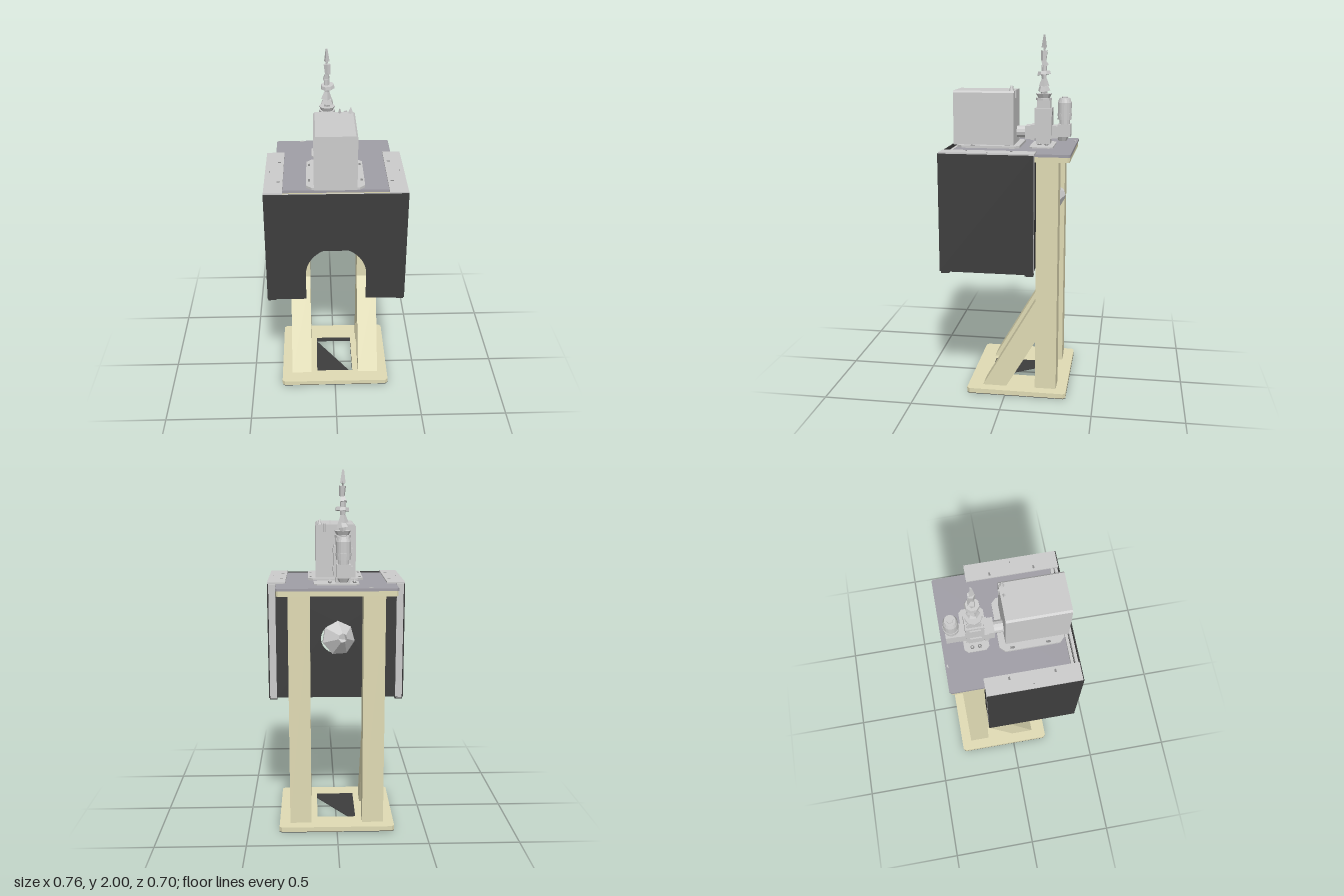
import * as THREE from 'three';

const mat = (color, extra = {}) => new THREE.MeshStandardMaterial({ color, flatShading: true, ...extra });
const GREY = mat(0xcccccc);
const THIN = mat(0xcccccc, { side: THREE.DoubleSide });
const WOOD = mat(0xe0dbb4);
const DARK = mat(0x3d3d3d);
const SLATE = mat(0xa09ea6);
const SLOT = mat(0x8a8a8a);

export function createModel() {
  const root = new THREE.Group();
  root.name = 'workstation';

  const add = (name, geo, material, x = 0, y = 0, z = 0) => {
    const m = new THREE.Mesh(geo, material);
    m.name = name;
    m.position.set(x, y, z);
    root.add(m);
    return m;
  };
  // Box from its min and max on each axis
  const box = (name, material, x0, x1, y0, y1, z0, z1) =>
    add(name, new THREE.BoxGeometry(x1 - x0, y1 - y0, z1 - z0), material, (x0 + x1) / 2, (y0 + y1) / 2, (z0 + z1) / 2);
  const cyl = (name, r0, r1, y0, y1, x, z, sides = 16, material = GREY) =>
    add(name, new THREE.CylinderGeometry(r1, r0, y1 - y0, sides), material, x, (y0 + y1) / 2, z);
  const poly = (pts) => pts.map((p) => new THREE.Vector2(p[0], p[1]));
  const chamfered = (x0, x1, a0, a1, c) => poly([
    [x0 + c, a0], [x1 - c, a0], [x1, a0 + c], [x1, a1 - c],
    [x1 - c, a1], [x0 + c, a1], [x0, a1 - c], [x0, a0 + c]]);
  // Horizontal plate from an outline in x and z
  const plate = (name, material, outline, y0, y1, hole) => {
    const flip = (pts) => pts.map((p) => new THREE.Vector2(p.x, -p.y));
    const shape = new THREE.Shape(flip(outline));
    if (hole) shape.holes.push(new THREE.Path(flip(hole)));
    const geo = new THREE.ExtrudeGeometry(shape, { depth: y1 - y0, bevelEnabled: false });
    geo.rotateX(-Math.PI / 2);
    return add(name, geo, material, 0, y0, 0);
  };

  // Floor plate with a window and a dark underside
  plate('basePlate', WOOD, chamfered(-0.325, 0.325, -0.345, 0.22, 0.015), 0.003, 0.03,
    poly([[-0.11, -0.21], [0.11, -0.21], [0.11, 0.12], [-0.11, 0.12]]));
  plate('baseUnderside', DARK, chamfered(-0.325, 0.325, -0.345, 0.22, 0.015), 0, 0.003,
    poly([[0.11, 0.12], [0.11, -0.21], [-0.11, -0.21]]));

  // Posts and sloping braces
  for (const s of [-1, 1]) {
    const x = s * 0.205;
    box('post', WOOD, x - 0.06, x + 0.06, 0.03, 1.35, -0.285, -0.165);
    const side = new THREE.Shape(poly([[-0.135, 0.03], [0, 0.03], [0.165, 0.31], [0.165, 0.55]]));
    const geo = new THREE.ExtrudeGeometry(side, { depth: 0.12, bevelEnabled: false });
    geo.rotateY(Math.PI / 2);
    add('brace', geo, WOOD, x - 0.06, 0, 0);
  }

  // Table top
  plate('tableBoard', WOOD, chamfered(-0.325, 0.325, -0.348, 0.295, 0.01), 1.347, 1.375);
  plate('tableSheet', SLATE, chamfered(-0.328, 0.328, -0.352, 0.297, 0.01), 1.375, 1.39);

  // Front panel with arched opening
  const front = new THREE.Shape(poly([[-0.38, 0.74], [-0.165, 0.74], [-0.165, 0.9]]));
  front.absarc(0, 0.9, 0.165, Math.PI, 0, true);
  for (const [x, y] of [[0.165, 0.74], [0.38, 0.74], [0.38, 1.39], [-0.38, 1.39]]) front.lineTo(x, y);
  add('frontPanel', new THREE.ExtrudeGeometry(front, { depth: 0.006, bevelEnabled: false, curveSegments: 20 }), DARK, 0, 0, 0.343);

  // Back panel with a round port
  const back = new THREE.Shape(poly([[-0.335, 0.74], [0.335, 0.74], [0.335, 1.347], [-0.335, 1.347]]));
  back.holes.push(new THREE.Path().absarc(0, 1.08, 0.085, 0, Math.PI * 2, true));
  add('backPanel', new THREE.ExtrudeGeometry(back, { depth: 0.006, bevelEnabled: false }), DARK, 0, 0, -0.162);

  // Faceted horn through the port
  const horn = new THREE.LatheGeometry(poly([[0.025, -0.11], [0.095, -0.04], [0.07, 0.04], [0.03, 0.075]]), 7);
  horn.rotateX(Math.PI / 2);
  const hornMesh = add('portHorn', horn, THIN, 0, 1.09, -0.19);
  hornMesh.rotation.set(0.2, 0.3, 0.4);

  // Enclosure sides: panels, corner rails and top covers
  for (const s of [-1, 1]) {
    const mirrored = (name, material, x0, x1, ...rest) =>
      box(name, material, Math.min(s * x0, s * x1), Math.max(s * x0, s * x1), ...rest);
    mirrored('sidePanel', DARK, 0.374, 0.38, 0.74, 1.39, -0.165, 0.349);
    mirrored('coverStrip', GREY, 0.28, 0.379, 1.388, 1.398, -0.167, 0.343);
    for (const z of [-0.165, 0.298]) {
      mirrored('cornerRail', GREY, 0.335, 0.373, 0.735, 1.386, z, z + 0.044);
      mirrored('railFoot', DARK, 0.333, 0.376, 0.73, 0.742, z, z + 0.046);
      // Raised ribs give the rail its grooved profile
      for (const k of [0, 1]) {
        mirrored('railRib', GREY, 0.329, 0.336, 0.742, 1.345, z + 0.004 + k * 0.026, z + 0.014 + k * 0.026);
      }
    }
    for (const y of [0.742, 1.3]) mirrored('sideRail', GREY, 0.338, 0.373, y, y + 0.04, -0.121, 0.298);
    for (const z of [-0.035, 0.21]) mirrored('coverSlot', SLOT, 0.295, 0.312, 1.39, 1.3995, z - 0.005, z + 0.005);
    mirrored('coverPin', SLOT, 0.351, 0.356, 1.39, 1.401, 0.083, 0.09);
  }
  for (const z of [0.302, 0.326]) box('frontRail', GREY, -0.335, 0.335, 1.335, 1.372, z, z + 0.016);

  // Control box on its chamfered flange
  plate('boxFlange', GREY, chamfered(-0.155, 0.155, -0.055, 0.295, 0.028), 1.39, 1.403);
  for (const x of [-0.14, 0.14]) {
    for (const z of [0.013, 0.205]) box('flangeSlot', SLOT, x - 0.006, x + 0.006, 1.4, 1.4045, z - 0.012, z + 0.012);
  }
  const cabinet = new THREE.Shape(poly([
    [-0.115, 1.4], [0.112, 1.4], [0.112, 1.69], [0.102, 1.7], [-0.105, 1.7], [-0.115, 1.69]]));
  add('controlBox', new THREE.ExtrudeGeometry(cabinet, { depth: 0.34, bevelEnabled: false }), GREY, 0, 0, -0.02);
  cyl('boxStud', 0.016, 0.003, 1.695, 1.73, 0.088, -0.003, 5);
  cyl('boxStud', 0.012, 0.002, 1.695, 1.725, 0.03, -0.003, 3);
  cyl('boxStud', 0.006, 0.006, 1.66, 1.705, 0.062, -0.022, 8);

  // Column mounting plate and bolts
  plate('columnPlate', GREY, chamfered(-0.125, 0.123, -0.238, -0.105, 0.018), 1.39, 1.397);
  for (const x of [-0.1, 0.035]) {
    for (const z of [-0.195, -0.155]) {
      cyl('plateBolt', 0.011, 0.011, 1.396, 1.402, x, z, 6, SLOT);
      cyl('boltHead', 0.006, 0.004, 1.402, 1.409, x, z, 5);
    }
  }

  // Valve column
  const cx = -0.035, cz = -0.17;
  box('columnBase', GREY, cx - 0.04, cx + 0.04, 1.397, 1.43, cz - 0.04, cz + 0.04);
  box('columnBody', GREY, cx - 0.046, cx + 0.05, 1.43, 1.6, cz - 0.05, cz + 0.046);
  box('columnHead', GREY, cx - 0.036, cx + 0.038, 1.6, 1.642, cz - 0.04, cz + 0.036);
  for (const y of [1.46, 1.56]) {
    for (const s of [-1, 1]) {
      box('columnLug', GREY, cx + s * 0.048 - 0.006, cx + s * 0.048 + 0.006, y, y + 0.025, cz - 0.03, cz + 0.03);
      box('columnLug', SLOT, cx + s * 0.025 - 0.01, cx + s * 0.025 + 0.01, y, y + 0.02, cz - 0.052, cz + 0.048);
    }
  }
  cyl('columnCap', 0.045, 0.045, 1.642, 1.655, cx, cz, 8);
  cyl('columnCap', 0.033, 0.045, 1.655, 1.678, cx, cz, 8);

  // Coupling from the column to the control box
  box('couplingFlange', GREY, cx - 0.05, cx + 0.05, 1.42, 1.505, -0.125, -0.1);
  box('couplingBlock', GREY, cx - 0.043, cx + 0.045, 1.425, 1.5, -0.1, -0.07);
  const link = cyl('couplingPipe', 0.034, 0.034, 0, 0.052, cx + 0.003, -0.045, 12);
  link.rotation.x = Math.PI / 2;
  link.position.y = 1.463;

  // Rear motor with elbow
  const mz = -0.288;
  box('motorLink', GREY, cx - 0.036, cx + 0.038, 1.43, 1.5, -0.255, -0.215);
  box('motorBlock', GREY, cx - 0.038, cx + 0.038, 1.44, 1.51, mz - 0.036, mz + 0.036);
  cyl('motorElbow', 0.024, 0.036, 1.415, 1.44, cx, mz + 0.01, 8);
  cyl('motorNeck', 0.03, 0.03, 1.51, 1.535, cx, mz, 12);
  cyl('motorCan', 0.039, 0.039, 1.535, 1.63, cx, mz, 16);
  cyl('motorBand', 0.042, 0.042, 1.555, 1.57, cx, mz, 16);
  cyl('motorTop', 0.039, 0.03, 1.63, 1.655, cx, mz, 16);
  cyl('motorKnob', 0.018, 0.018, 1.655, 1.662, cx, mz, 6);

  // Stem of loose faceted pieces: [bottom radius, top radius, y0, y1, sides, tilt]
  const stem = [
    [0.016, 0.022, 1.67, 1.7, 6, 0.1], [0.036, 0.024, 1.695, 1.722, 6, 0.25], [0.03, 0.012, 1.72, 1.768, 4, -0.2],
    [0.013, 0.02, 1.76, 1.79, 5, 0.15], [0.04, 0.036, 1.783, 1.802, 8, 0.08], [0.016, 0.016, 1.8, 1.835, 6, 0],
    [0.024, 0.012, 1.83, 1.865, 4, 0.2], [0.016, 0.02, 1.86, 1.915, 5, -0.06], [0.005, 0.012, 1.915, 1.94, 3, 0.1],
    [0.018, 0.006, 1.93, 2.0, 3, 0]];
  stem.forEach(([r0, r1, y0, y1, sides, tilt], i) => {
    const piece = cyl('stemPiece', r0, r1, y0, y1, cx + 0.003 * Math.sin(i * 2), cz, sides);
    piece.rotation.set(tilt, i * 0.9, -tilt);
  });

  // Loose chip lying on the table
  plate('tableChip', GREY, poly([[-0.192, -0.335], [-0.178, -0.345], [-0.168, -0.338]]), 1.39, 1.395);

  return root;
}
